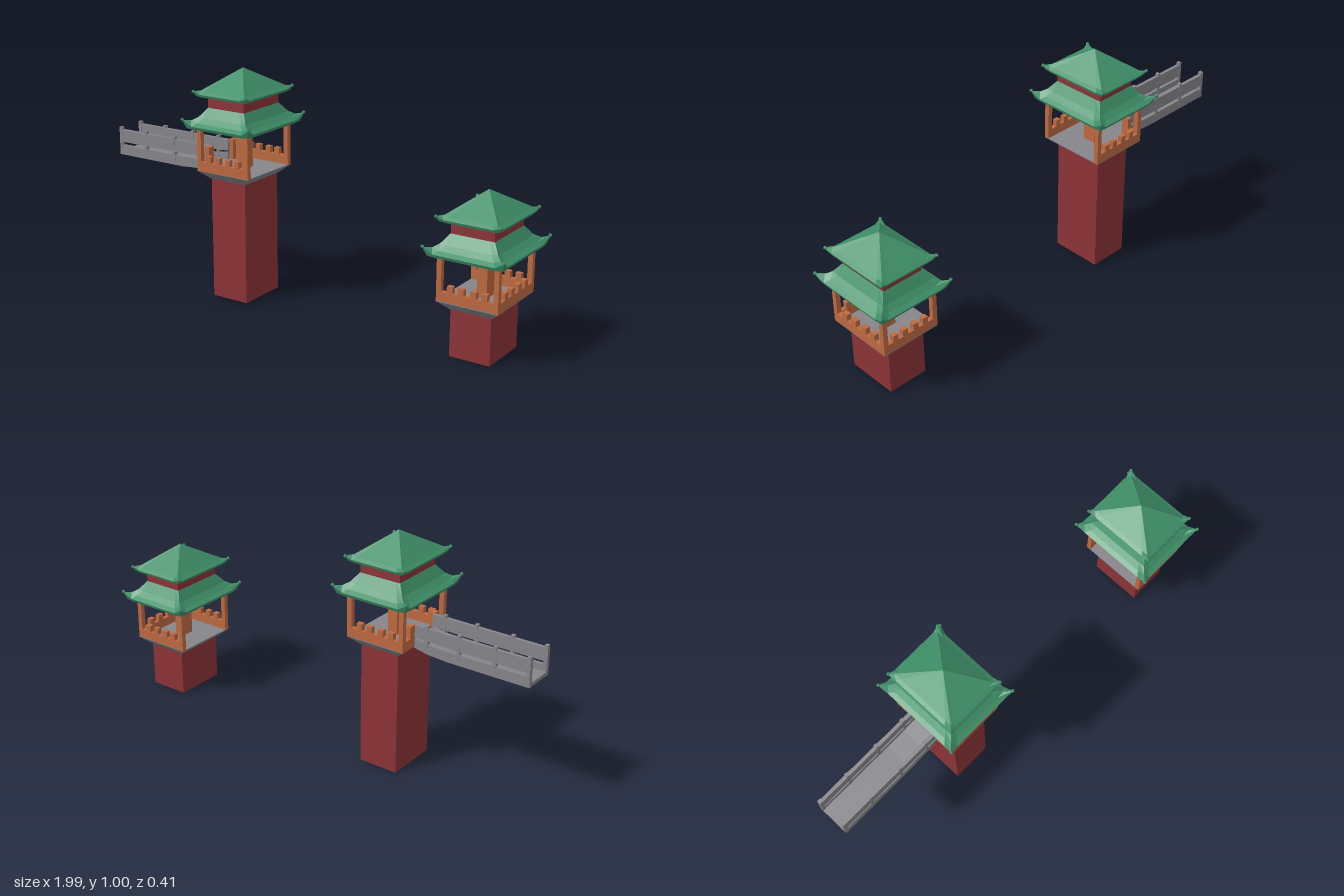
import * as THREE from 'three';

const mat = (name, color) => {
  const m = new THREE.MeshStandardMaterial({ color });
  m.name = name;
  return m;
};

// Stack of rectangular rings from top to bottom: [halfX, halfZ, y, cornerLift, cornerPush]
function loft(levels) {
  const rings = levels.map(([hx, hz, y, lift = 0, push = 0]) => {
    const ring = [];
    for (let k = 0; k < 4; k++) {
      for (const t of [-1, -0.8, 0, 0.8]) {
        const [x, z] = [[t * hx, hz], [hx, -t * hz], [-t * hx, -hz], [-hx, t * hz]][k];
        const c = t === -1 ? 1 : 0;
        ring.push([x + c * push * Math.sign(x), y + c * lift, z + c * push * Math.sign(z)]);
      }
    }
    return ring;
  });
  const pos = [];
  const n = rings[0].length;
  for (let i = 0; i < rings.length - 1; i++) {
    for (let j = 0; j < n; j++) {
      const a = rings[i][j], b = rings[i + 1][j];
      const c = rings[i + 1][(j + 1) % n], d = rings[i][(j + 1) % n];
      pos.push(...a, ...b, ...c, ...a, ...c, ...d);
    }
  }
  // Close the top and the bottom
  const top = [0, levels[0][2], 0], bottom = [0, levels[levels.length - 1][2], 0];
  const last = rings[rings.length - 1];
  for (let j = 0; j < n; j++) {
    pos.push(...top, ...rings[0][j], ...rings[0][(j + 1) % n]);
    pos.push(...bottom, ...last[(j + 1) % n], ...last[j]);
  }
  const g = new THREE.BufferGeometry();
  g.setAttribute('position', new THREE.Float32BufferAttribute(pos, 3));
  g.computeVertexNormals();
  return g;
}

export function createModel() {
  const red = mat('red wall', 0x8c3437);
  const orange = mat('orange wood', 0xbd6941);
  const green = mat('green tile', 0x3f9069);
  const gray = mat('gray stone', 0x86858a);

  const add = (parent, name, geo, material, x = 0, y = 0, z = 0) => {
    const m = new THREE.Mesh(geo, material);
    m.name = name;
    m.position.set(x, y, z);
    parent.add(m);
    return m;
  };
  // Box given by its lower and upper corners
  const block = (parent, name, material, x0, x1, y0, y1, z0, z1) =>
    add(parent, name, new THREE.BoxGeometry(x1 - x0, y1 - y0, z1 - z0), material,
      (x0 + x1) / 2, (y0 + y1) / 2, (z0 + z1) / 2);

  const WX = 0.133, WZ = 0.153, T = 0.021;

  // Battlement along one side, built along x and then turned
  function battlement(parent, half, reach, angle) {
    const wall = new THREE.Group();
    wall.name = 'battlement';
    block(wall, 'parapet', orange, -half, half, 0, 0.043, reach - T, reach);
    const s = half / WZ * 0.92 + 0.06;
    for (const c of [-0.086, -0.031, 0.031, 0.086]) {
      block(wall, 'merlon', orange, (c - 0.0145) * s, (c + 0.0145) * s, 0.043, 0.071, reach - T, reach);
    }
    wall.rotation.y = angle;
    parent.add(wall);
  }

  // Corner knobs on the upturned eaves
  function knobs(parent, x, y, z) {
    for (const sx of [-1, 1]) for (const sz of [-1, 1]) {
      add(parent, 'eaveTip', new THREE.IcosahedronGeometry(0.008, 0), green, sx * x, y, sz * z);
    }
  }

  // deck is the height of the lookout floor; openSide is the x side without a wall
  function tower(name, x, deck, openSide, gate) {
    const g = new THREE.Group();
    g.name = name;
    g.position.x = x;
    const shaft = deck - 0.035;
    block(g, 'shaft', red, -0.088, 0.088, 0, shaft, -0.115, 0.115);

    const top = new THREE.Group();
    top.name = 'lookout';
    top.position.y = deck;
    g.add(top);
    add(top, 'floor', loft([[WX, WZ, 0.004], [WX, WZ, 0], [0.09, 0.117, -0.035]]), gray);

    // Posts and central pillar
    for (const sx of [-1, 1]) for (const sz of [-1, 1]) {
      const post = block(top, 'cornerPost', orange, WX - T, WX, 0, 0.212, WZ - T, WZ);
      post.position.x *= sx;
      post.position.z *= sz;
    }
    block(top, 'pillar', orange, -0.022, 0.022, 0, 0.24, -0.03, 0.03);

    // Walls
    battlement(top, WX, WZ, 0);
    battlement(top, WX, WZ, Math.PI);
    if (gate) {
      for (const s of [-1, 1]) {
        const low = block(top, 'gateWall', orange, -WX, -WX + T, 0, 0.043, 0.07, WZ);
        const pier = block(top, 'gatePier', orange, -WX, -WX + T, 0, 0.093, 0.066, 0.1);
        low.position.z *= s;
        pier.position.z *= s;
      }
    } else {
      battlement(top, WZ, WX, -openSide * Math.PI / 2);
    }

    // Lower roof with hollow underside
    add(top, 'lowerRoof', loft([
      [0.094, 0.122, 0.274], [0.122, 0.15, 0.233, 0.004], [0.145, 0.172, 0.213, 0.01],
      [0.165, 0.192, 0.201, 0.026, 0.008], [0.16, 0.186, 0.188, 0.003],
      [0.14, 0.166, 0.188], [0.1, 0.125, 0.236],
    ]), green);
    knobs(top, 0.171, 0.228, 0.198);

    // Upper storey and pyramid roof
    block(top, 'upperStorey', red, -0.093, 0.093, 0.26, 0.332, -0.122, 0.122);
    add(top, 'upperRoof', loft([
      [0, 0, 0.436], [0.116, 0.148, 0.345, 0.002], [0.132, 0.163, 0.335, 0.013, 0.006],
      [0.128, 0.158, 0.324, 0.003], [0.112, 0.142, 0.324], [0.095, 0.124, 0.331],
    ]), green);
    knobs(top, 0.134, 0.346, 0.166);
    return g;
  }

  // Flat outline in x and y, extruded across z
  const slab = (points, z0, z1) => {
    const shape = new THREE.Shape(points.map(([x, y]) => new THREE.Vector2(x, y)));
    const geo = new THREE.ExtrudeGeometry(shape, { depth: z1 - z0, bevelEnabled: false });
    return geo.translate(0, 0, z0);
  };

  const model = new THREE.Group();
  model.name = 'twinTowers';
  model.add(tower('tallTower', -0.355, 0.564, 1, true));
  model.add(tower('shortTower', 0.81, 0.232, -1, false));

  // Bridge running out from the tall tower
  const bridge = new THREE.Group();
  bridge.name = 'bridge';
  const end = -0.487;
  add(bridge, 'bridgeDeck', slab([
    [-1, 0.542], [-0.64, 0.542], [-0.55, 0.548], [end, 0.56],
    [end, 0.568], [-0.55, 0.562], [-0.64, 0.558], [-1, 0.558],
  ], -0.07, 0.07), gray);
  for (const s of [-1, 1]) {
    const z0 = s > 0 ? 0.056 : -0.071, z1 = z0 + 0.015;
    add(bridge, 'bridgeKerb', slab([
      [-1, 0.541], [-0.64, 0.541], [-0.55, 0.547], [end, 0.56],
      [end, 0.6], [-0.55, 0.588], [-0.64, 0.585], [-1, 0.585],
    ], z0, z1), gray);
    add(bridge, 'bridgeRail', slab([
      [-1, 0.6], [-0.64, 0.6], [end, 0.606], [end, 0.656], [-1, 0.656],
    ], z0, z1), gray);
    for (const x of [-0.992, -0.847, -0.687, -0.543]) {
      block(bridge, 'railPost', gray, x - 0.007, x + 0.007, 0.556, 0.667, z0 - 0.001, z1 + 0.001);
    }
  }
  model.add(bridge);
  return model;
}
